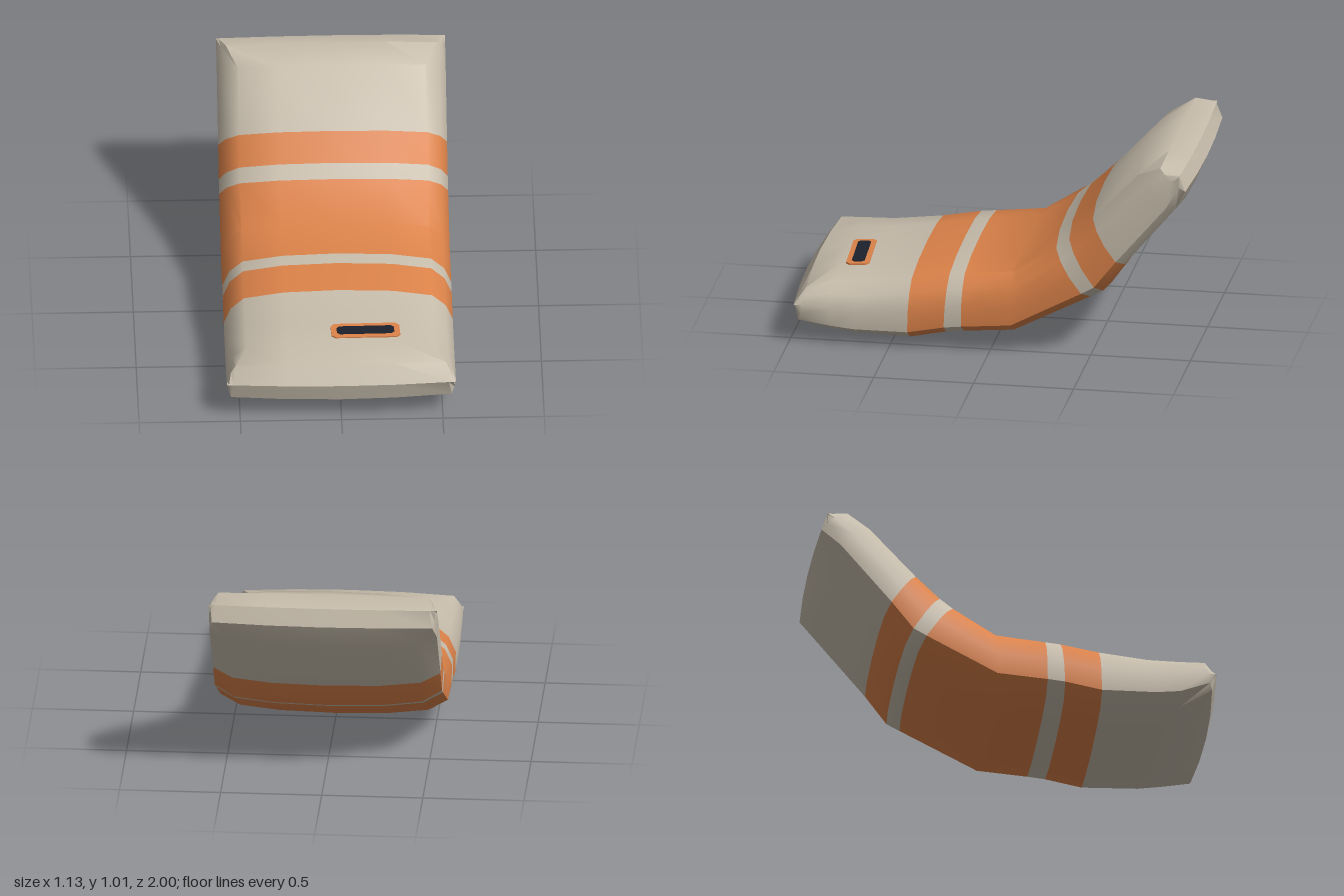
import * as THREE from 'three';
import { toCreasedNormals } from 'three/addons/utils/BufferGeometryUtils.js';

const mat = (name, color) => Object.assign(new THREE.MeshStandardMaterial({ color }), { name });

// Half cross-sections from top centre to bottom centre: [x, fraction of the way down]
const PILLOW = [[0, 0], [0.27, 0.025], [0.465, 0.105], [0.53, 0.26], [0.565, 0.48], [0.562, 0.77], [0.465, 0.92], [0.27, 0.98], [0, 1]];
const END = [[0, 0], [0.27, 0.01], [0.52, 0.05], [0.545, 0.25], [0.565, 0.5], [0.558, 0.75], [0.545, 0.96], [0.27, 0.99], [0, 1]];
const RIDGE = [0, 0.27, 0.53, 0.555, 0.565, 0.555, 0.53, 0.27, 0].map((x) => [x, 0]);

// Stations from front to back: [top z, top y, bottom z, bottom y, half section, colour index of the next strip]
const STATIONS = [
  [1, 0.2, 1, 0.2, RIDGE, 0],
  [0.94, 0.287, 0.98, 0.11, END, 0],
  [0.79, 0.335, 0.8, 0.03, PILLOW, 0],
  [0.64, 0.341, 0.69, 0.013, PILLOW, 0],
  [0.4, 0.375, 0.41, 0.003, PILLOW, 1],
  [0.21, 0.41, 0.23, 0.04, PILLOW, 0],
  [0.135, 0.418, 0.14, 0.05, PILLOW, 1],
  [-0.11, 0.445, -0.11, 0.07, PILLOW, 1],
  [-0.3, 0.572, -0.51, 0.275, PILLOW, 0],
  [-0.365, 0.625, -0.575, 0.307, PILLOW, 1],
  [-0.485, 0.735, -0.68, 0.455, PILLOW, 0],
  [-0.71, 0.975, -0.94, 0.77, PILLOW, 0],
  [-0.855, 1.016, -0.998, 0.9, END, 0],
  [-0.965, 0.985, -0.965, 0.985, RIDGE, 0],
];

// Loft of the sections, with one material group per strip
function cushionGeometry() {
  const pos = [], index = [], geo = new THREE.BufferGeometry();
  const n = 16;
  STATIONS.forEach(([zt, yt, zb, yb, half], k) => {
    for (let j = 0; j < n; j++) {
      const [x, f] = half[j <= 8 ? j : n - j];
      // the ends bow gently outwards in the middle
      const bow = k < 2 ? -0.025 : k > 11 ? 0.012 : 0;
      pos.push(j <= 8 ? x : -x, yt + (yb - yt) * f, zt + (zb - zt) * f + bow * (x / 0.565) ** 2);
    }
  });
  for (let k = 0; k < STATIONS.length - 1; k++) {
    geo.addGroup(index.length, n * 6, STATIONS[k][5]);
    for (let j = 0; j < n; j++) {
      const a = k * n + j, b = k * n + (j + 1) % n;
      index.push(a, b, a + n, b, b + n, a + n);
    }
  }
  geo.setAttribute('position', new THREE.Float32BufferAttribute(pos, 3));
  geo.setIndex(index);
  return toCreasedNormals(geo, 0.65);
}

// Thin plate with clipped corners, lying flat
function plate(name, w, d, c, material) {
  const s = new THREE.Shape([
    [w - c, -d], [w, -d + c], [w, d - c], [w - c, d], [c - w, d], [-w, d - c], [-w, c - d], [c - w, -d],
  ].map((p) => new THREE.Vector2(...p)));
  const geo = new THREE.ExtrudeGeometry(s, { depth: 0.009, bevelEnabled: false });
  const mesh = new THREE.Mesh(geo.rotateX(-Math.PI / 2), material);
  mesh.name = name;
  return mesh;
}

export function createModel() {
  const beige = mat('beige fabric', 0xc6bcab);
  const orange = mat('orange fabric', 0xdb8249);
  const dark = mat('dark slot', 0x1c202b);

  const model = new THREE.Group();
  model.name = 'loungeCushion';

  const cushion = new THREE.Mesh(cushionGeometry(), [beige, orange]);
  cushion.name = 'stripedCushion';
  model.add(cushion);

  // Slot with an orange border on the front of the seat
  const slot = new THREE.Group();
  slot.name = 'slot';
  const border = plate('slotBorder', 0.17, 0.058, 0.02, orange);
  const opening = plate('slotOpening', 0.142, 0.032, 0.015, dark);
  opening.position.y = 0.003;
  slot.add(border, opening);
  slot.position.set(0.125, 0.331, 0.71);
  slot.rotation.set(0.04, 0.045, -0.022);
  model.add(slot);

  return model;
}
